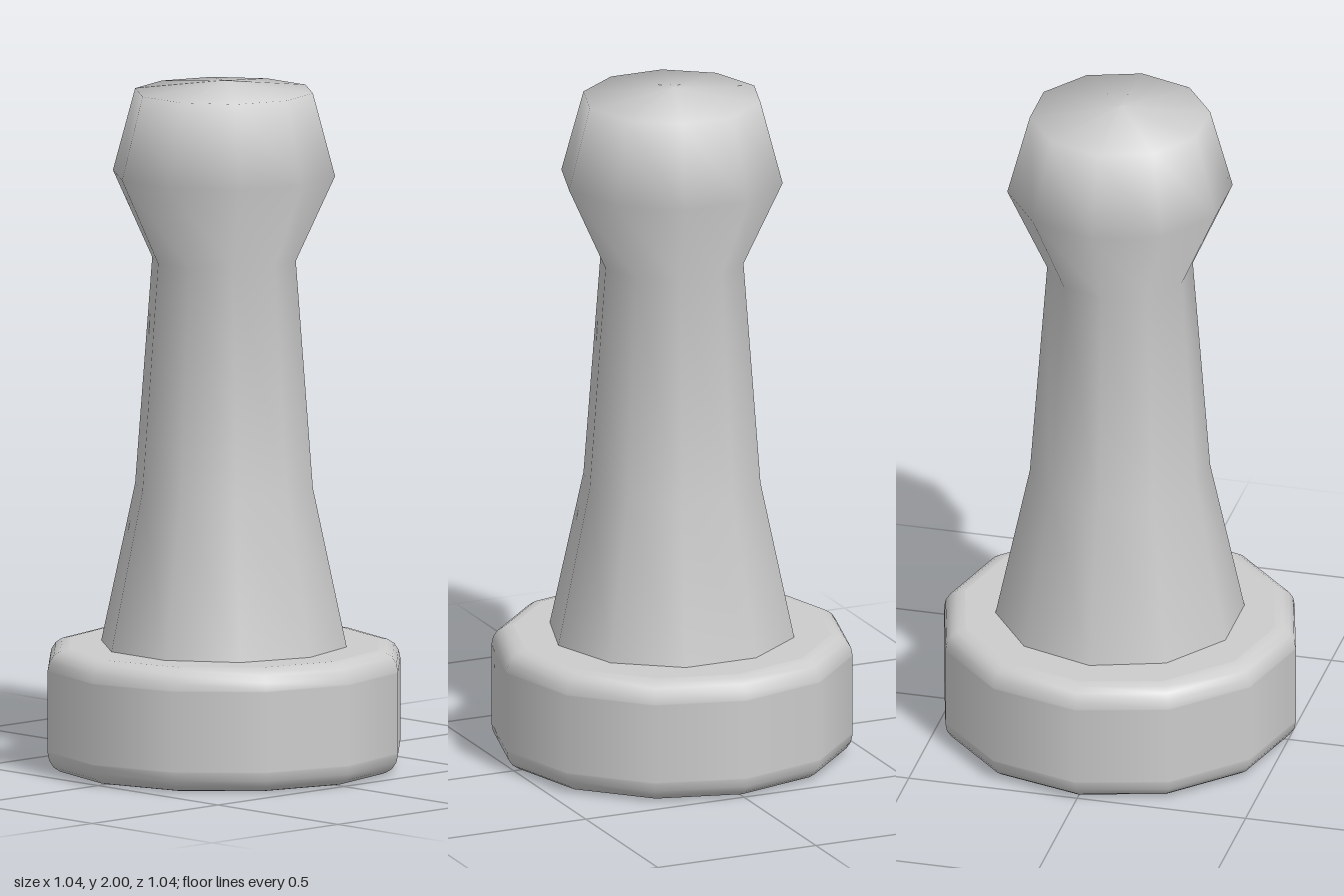
import * as THREE from 'three';

const fillet = 0.06, radius = 0.522, height = 0.36;

// Rounded corner of the base profile, swept from one angle to the next
function corner(cy, from) {
  const points = [];
  for (let i = 0; i <= 4; i++) {
    const a = from + (i / 4) * Math.PI / 2;
    points.push([radius - fillet + fillet * Math.cos(a), cy + fillet * Math.sin(a)]);
  }
  return points;
}

function lathe(name, profile, sides, start, material) {
  const points = profile.map(([x, y]) => new THREE.Vector2(x, y));
  const mesh = new THREE.Mesh(new THREE.LatheGeometry(points, sides, start), material);
  mesh.name = name;
  return mesh;
}

export function createModel() {
  const group = new THREE.Group();
  group.name = 'pawn';
  const grey = new THREE.MeshStandardMaterial({ color: 0xcccccc });
  grey.name = 'light grey';

  // Twelve-sided foot; the extra points beside the fillets keep its faces flat
  const inner = radius - fillet - 0.004;
  group.add(lathe('base', [
    [0, 0], [inner, 0],
    ...corner(fillet, -Math.PI / 2),
    [radius, fillet + 0.004], [radius, height - fillet - 0.004],
    ...corner(height - fillet, 0),
    [inner, height], [0, height],
  ], 12, 0, grey));

  // Ten-sided stem flowing into the head, with a corner on the x axis
  group.add(lathe('stemAndHead', [
    [0.36, 0.355], [0.26, 0.82], [0.21, 1.48],
    [0.325, 1.73], [0.26, 1.97], [0, 2],
  ], 10, Math.PI / 2, grey));

  return group;
}
